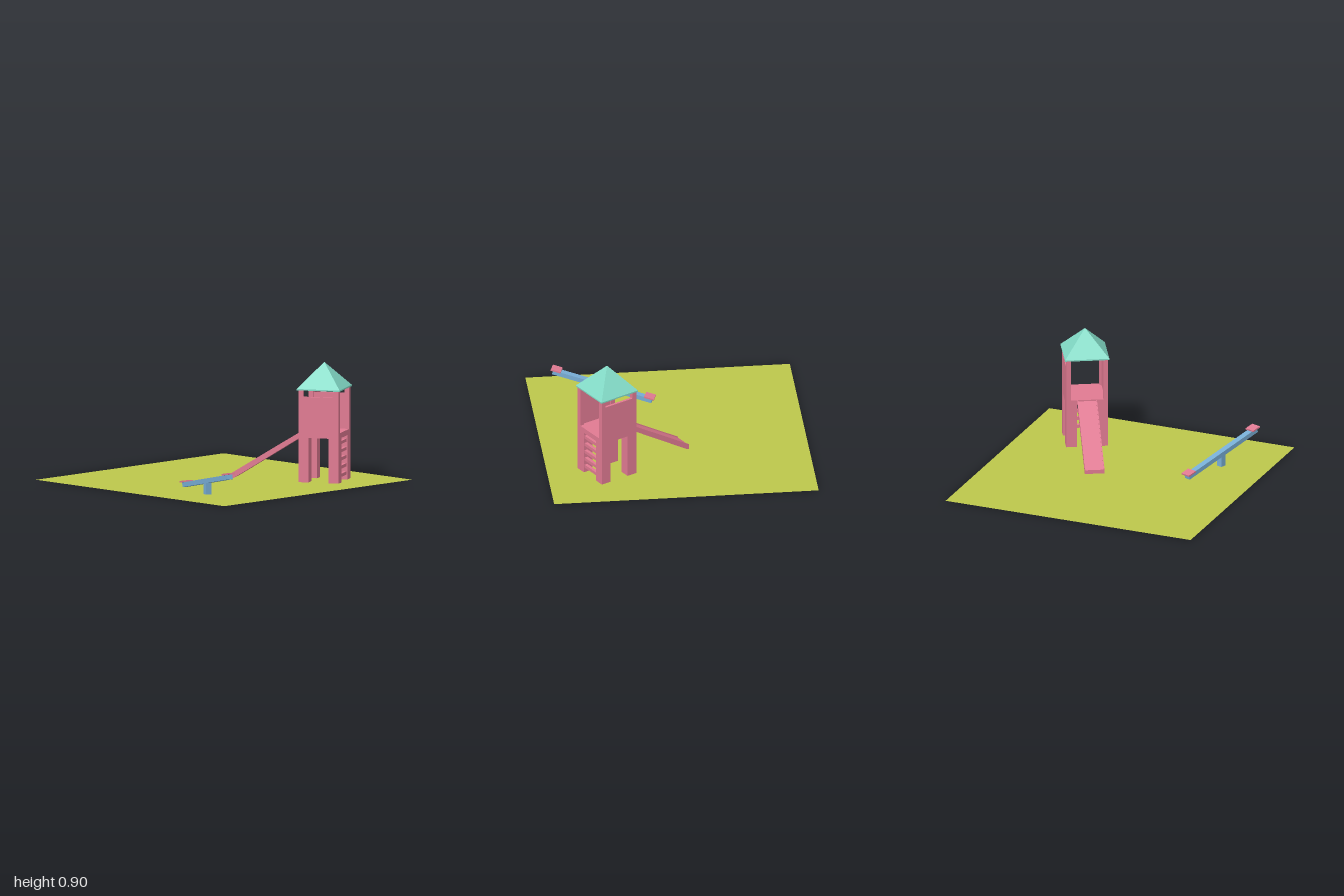
import * as THREE from 'three';

const material = (name, color, side = THREE.FrontSide) => {
  const m = new THREE.MeshStandardMaterial({ color, side });
  m.name = name;
  return m;
};

export function createModel() {
  const pink = material('pink', 0xe07a92);
  const teal = material('teal', 0x82dac6);
  const blue = material('blue', 0x78aed6);
  const grass = material('grass green', 0xbcc74b, THREE.DoubleSide);

  const add = (parent, name, geometry, mat, x = 0, y = 0, z = 0) => {
    const mesh = new THREE.Mesh(geometry, mat);
    mesh.name = name;
    mesh.position.set(x, y, z);
    parent.add(mesh);
    return mesh;
  };
  // box standing on height y
  const box = (parent, name, mat, w, h, d, x, y, z) =>
    add(parent, name, new THREE.BoxGeometry(w, h, d), mat, x, y + h / 2, z);

  const model = new THREE.Group();
  model.name = 'playground';

  // lawn, a hair above the feet
  add(model, 'lawn', new THREE.PlaneGeometry(2, 2).rotateX(-Math.PI / 2), grass, 0, 0.002, 0);

  // tower
  const tower = new THREE.Group();
  tower.name = 'tower';
  tower.position.set(0.518, 0, 0.548);
  tower.rotation.y = 0.505;
  model.add(tower);

  const half = 0.158, leg = 0.08, post = 0.035, wall = 0.02;
  for (const sx of [-1, 1]) {
    for (const sz of [-1, 1]) {
      const l = half - leg / 2, p = half - post / 2;
      box(tower, 'leg', pink, leg, 0.34, leg, sx * l, 0, sz * l);
      box(tower, 'roofPost', pink, post, 0.32, post, sx * p, 0.38, sz * p);
    }
    box(tower, 'sideWall', pink, wall, 0.27, 2 * (half - post), sx * (half - wall / 2), 0.38, 0);
  }
  box(tower, 'platform', pink, 2 * half, 0.04, 2 * half, 0, 0.34, 0);

  // ladder rungs between the front legs
  for (let i = 0; i < 5; i++) {
    box(tower, 'rung', pink, 0.156, 0.024, 0.025, 0, 0.04 + i * 0.0622, 0.138);
  }

  // pyramid roof with a thin lip
  box(tower, 'roofLip', teal, 0.335, 0.01, 0.335, 0, 0.7, 0);
  const roof = new THREE.ConeGeometry(0.335 / Math.SQRT2, 0.19, 4, 1, true).toNonIndexed();
  roof.rotateY(Math.PI / 4);
  roof.computeVertexNormals();
  add(tower, 'roof', roof, teal, 0, 0.805, 0);

  // slide: side profiles (distance behind the tower centre, height) extruded across
  const strip = (name, width, x, drop) => {
    const shape = new THREE.Shape([
      [half, 0.335], [0.69, 0], [0.702, 0], [0.702, 0.04 - drop], [half, 0.378 - drop],
    ].map(([a, b]) => new THREE.Vector2(a, b)));
    const g = new THREE.ExtrudeGeometry(shape, { depth: width, bevelEnabled: false });
    g.translate(0, 0, -width / 2).rotateY(Math.PI / 2);
    add(tower, name, g, pink, x, 0, 0);
  };
  strip('slideBed', 0.136, 0, 0.008);
  for (const s of [-1, 1]) strip('slideRail', 0.006, s * 0.071, 0);

  // seesaw
  const seesaw = new THREE.Group();
  seesaw.name = 'seesaw';
  seesaw.position.set(-0.633, 0, 0.455);
  seesaw.rotation.y = -0.333;
  model.add(seesaw);
  box(seesaw, 'seesawSupport', blue, 0.045, 0.095, 0.045, 0, 0, 0);

  const plank = new THREE.Group();
  plank.name = 'plank';
  plank.position.y = 0.103;
  plank.rotation.x = -0.2;
  seesaw.add(plank);
  add(plank, 'beam', new THREE.BoxGeometry(0.048, 0.035, 0.78), blue);
  for (const s of [-1, 1]) {
    add(plank, 'seat', new THREE.BoxGeometry(0.077, 0.012, 0.077), pink, 0, 0.0235, s * 0.367);
  }

  return model;
}
